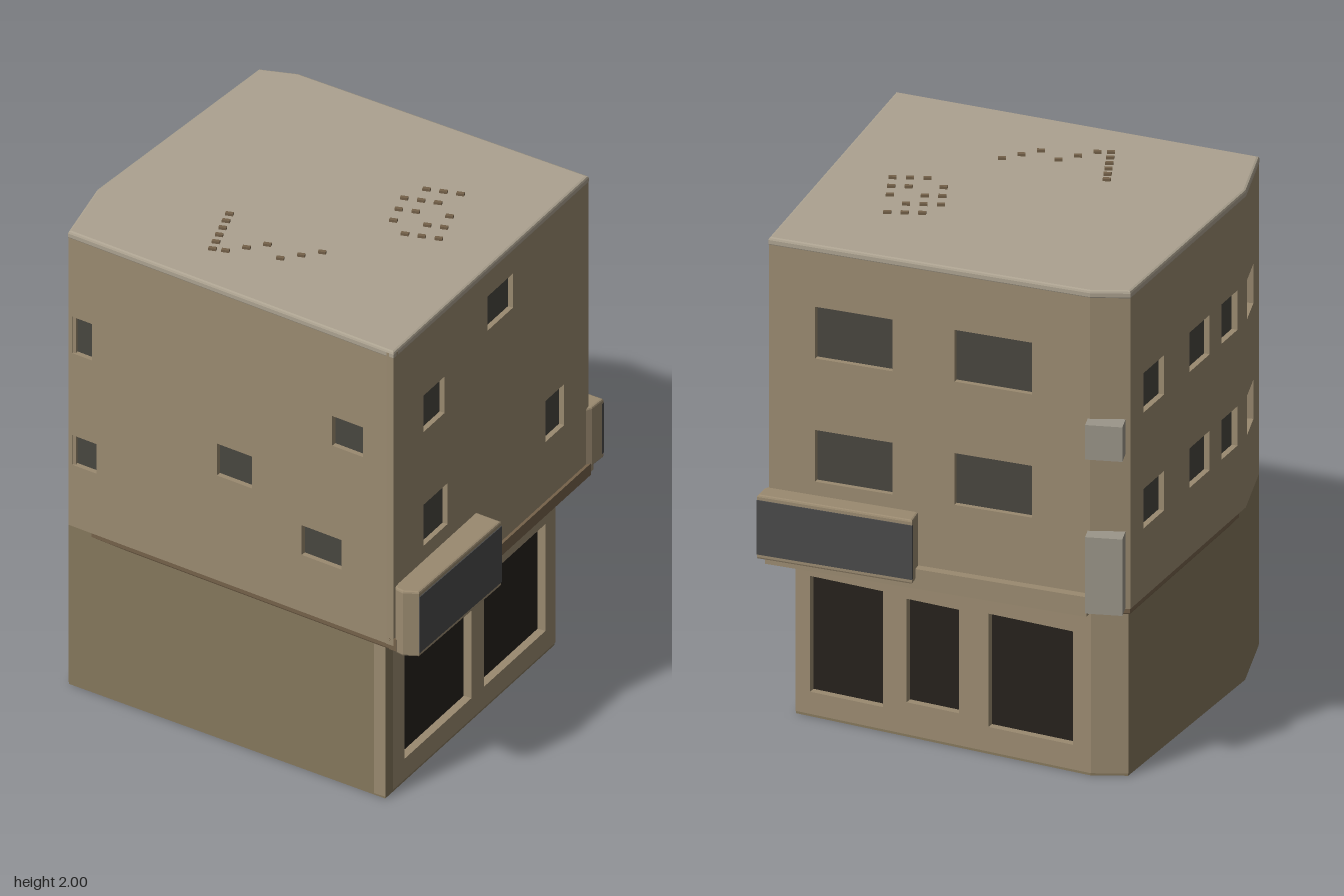
import * as THREE from 'three';

const mat = (color) => new THREE.MeshStandardMaterial({ color, roughness: 1 });
const plaster = mat(0x9a8a70), plasterDark = mat(0x85775c), roofMat = mat(0xaca290);
const darkGlass = mat(0x25211c), windowGlass = mat(0x48463f), signMat = mat(0x4a4a4a);
const ledgeMat = mat(0x75624a), metal = mat(0x9b968a);

// Plan outlines as [x, z], running counter-clockwise seen from above
const UPPER = [[-0.9, 0.41], [0.48, 0.92], [0.87, -0.45], [-0.35, -0.865], [-0.5, -0.86], [-0.87, 0.1]];
const GROUND = [[-0.9, 0.41], [0.44, 0.885], [0.78, -0.31], [-0.35, -0.815], [-0.49, -0.81], [-0.87, 0.1]];

// Vertical prism over a plan outline; bevel rounds its rims
function prism(name, pts, y0, y1, material, scale = 1, bevel = 0) {
  const shape = new THREE.Shape(pts.map(([x, z]) => new THREE.Vector2(x * scale, -z * scale)));
  const geo = new THREE.ExtrudeGeometry(shape, {
    depth: y1 - y0 - 2 * bevel, bevelEnabled: bevel > 0,
    bevelSize: bevel, bevelThickness: bevel, bevelOffset: -bevel, bevelSegments: 2,
  });
  geo.rotateX(-Math.PI / 2);
  const mesh = new THREE.Mesh(geo, material);
  mesh.position.y = y0 + bevel;
  mesh.name = name;
  return mesh;
}

// Flat wall slab from p to q with rectangular openings [c0, c1, y0, y1];
// c0 and c1 are plan coordinates on the chosen axis (0 = x, 1 = z)
function wall(name, p, q, y0, y1, material, openings = [], axis = 1, inner = 0.03, outer = 0) {
  const dx = q[0] - p[0], dz = q[1] - p[1], len = Math.hypot(dx, dz);
  const rect = (Kind, a, b, c, d) => new Kind([[a, c], [b, c], [b, d], [a, d]].map((v) => new THREE.Vector2(...v)));
  const shape = rect(THREE.Shape, 0, len, y0, y1);
  const along = (c) => len * (c - p[axis]) / (q[axis] - p[axis]);
  for (const [c0, c1, a, b] of openings) shape.holes.push(rect(THREE.Path, along(c0), along(c1), a, b));
  const geo = new THREE.ExtrudeGeometry(shape, { depth: inner + outer, bevelEnabled: false });
  geo.translate(0, 0, -inner);
  const mesh = new THREE.Mesh(geo, material);
  mesh.position.set(p[0], 0, p[1]);
  mesh.rotation.y = Math.atan2(-dz, dx);
  mesh.name = name;
  return mesh;
}

function box(name, w, h, d, x, y, z, material, turn = 0) {
  const mesh = new THREE.Mesh(new THREE.BoxGeometry(w, h, d), material);
  mesh.position.set(x, y, z);
  mesh.rotation.y = turn;
  mesh.name = name;
  return mesh;
}

export function createModel() {
  const model = new THREE.Group();
  model.name = 'cornerBuilding';
  const names = ['frontWall', 'shopWall', 'backWall', 'backCorner', 'sideWall', 'sideWallEnd'];

  // Openings for each wall, in the order of the outline
  const twoRows = (spans) => spans.flatMap(([a, b]) => [[a, b, 1.45, 1.61], [a, b, 0.98, 1.14]]);
  const upperOpenings = [
    [[-0.885, -0.8, 1.46, 1.62], [-0.885, -0.78, 0.97, 1.1], [-0.27, -0.12, 1.16, 1.3],
      [0.22, 0.35, 1.48, 1.61], [0.09, 0.26, 0.95, 1.08]],
    [[0.71, 0.56, 1.52, 1.68], [0.26, 0.08, 1.71, 1.86], [0.71, 0.54, 1.02, 1.2], [-0.15, -0.28, 0.99, 1.17]],
    [[-0.51, -0.61, 1.53, 1.74], [-0.69, -0.79, 1.53, 1.74], [-0.51, -0.61, 1.03, 1.24], [-0.69, -0.79, 1.03, 1.24]],
    [],
    twoRows([[-0.75, -0.58], [-0.37, -0.2], [-0.1, 0.03]]),
    twoRows([[0.13, 0.28]]),
  ];
  const groundOpenings = [
    [],
    [[0.75, 0.28, 0.1, 0.57], [0.19, -0.24, 0.1, 0.57]],
    [[-0.335, -0.46, 0.1, 0.57], [-0.5, -0.59, 0.14, 0.56], [-0.64, -0.785, 0.11, 0.57]],
    [], [], [],
  ];

  // Dark cores show through the openings as glass
  model.add(prism('shopGlass', GROUND, 0.02, 0.7, darkGlass, 0.95));
  model.add(prism('windowGlass', UPPER, 0.72, 1.96, windowGlass, 0.97));
  names.forEach((name, i) => {
    const j = (i + 1) % names.length, axis = i === 0 ? 0 : 1;
    const blank = i === 0 || i > 3;
    model.add(wall(name + 'Ground', GROUND[i], GROUND[j], 0.01, 0.7, blank ? plasterDark : plaster, groundOpenings[i], axis, 0.05));
    model.add(wall(name + 'Upper', UPPER[i], UPPER[j], 0.7, 1.98, plaster, upperOpenings[i], axis));
  });

  // Base, overhanging floor and softly rounded roof
  model.add(prism('base', GROUND, 0, 0.03, plasterDark, 0.997));
  model.add(prism('overhangUnderside', UPPER, 0.675, 0.71, ledgeMat, 0.998, 0.008));
  model.add(prism('roof', UPPER, 1.955, 1.99, roofMat, 1.002, 0.01));

  // Ledge strips above the shopfronts
  model.add(wall('shopLedge', UPPER[1], UPPER[2], 0.68, 0.73, ledgeMat, [], 1, 0.02, 0.012));
  model.add(wall('backLedge', UPPER[2], UPPER[3], 0.68, 0.76, plaster, [], 1, 0.02, 0.035));

  // Projecting sign boxes with blank dark boards
  const signs = [
    ['shopSign', [[0.46, 0.86], [0.49, 0.92], [0.52, 0.935], [0.58, 0.925], [0.75, 0.37], [0.64, 0.33]], 3, 0.67, 0.955],
    ['backSign', [[0.85, -0.42], [0.885, -0.45], [0.91, -0.52], [0.32, -0.72], [0.3, -0.63]], 2, 0.715, 0.975],
  ];
  for (const [name, pts, k, y0, y1] of signs) {
    model.add(prism(name + 'Box', pts, y0, y1, plaster, 1, 0.008));
    model.add(wall(name + 'Board', pts[k], pts[k + 1], y0 + 0.02, y1 - 0.02, signMat, [], 1, 0.01, 0.004));
  }

  // Cooling units by the back corner
  model.add(box('coolingUnitUpper', 0.14, 0.14, 0.1, -0.41, 1.4, -0.88, metal, -0.1));
  model.add(box('coolingUnitLower', 0.14, 0.31, 0.1, -0.41, 0.86, -0.88, metal, -0.1));

  // Small rubble on the roof: a regular patch and two loose rows
  const rubble = (x, z) => model.add(box('roofRubble', 0.03, 0.012, 0.015, x, 1.994, z, ledgeMat));
  for (let r = 0; r < 5; r++) for (let c = 0; c < 4; c++) if ((r + c) % 4) rubble(0.25 + c * 0.065, -0.2 + r * 0.08);
  for (let i = 0; i < 6; i++) {
    rubble(-0.35, 0.15 + i * 0.05);
    rubble(-0.3 + i * 0.07, 0.4 - (i % 3) * 0.04);
  }
  return model;
}
